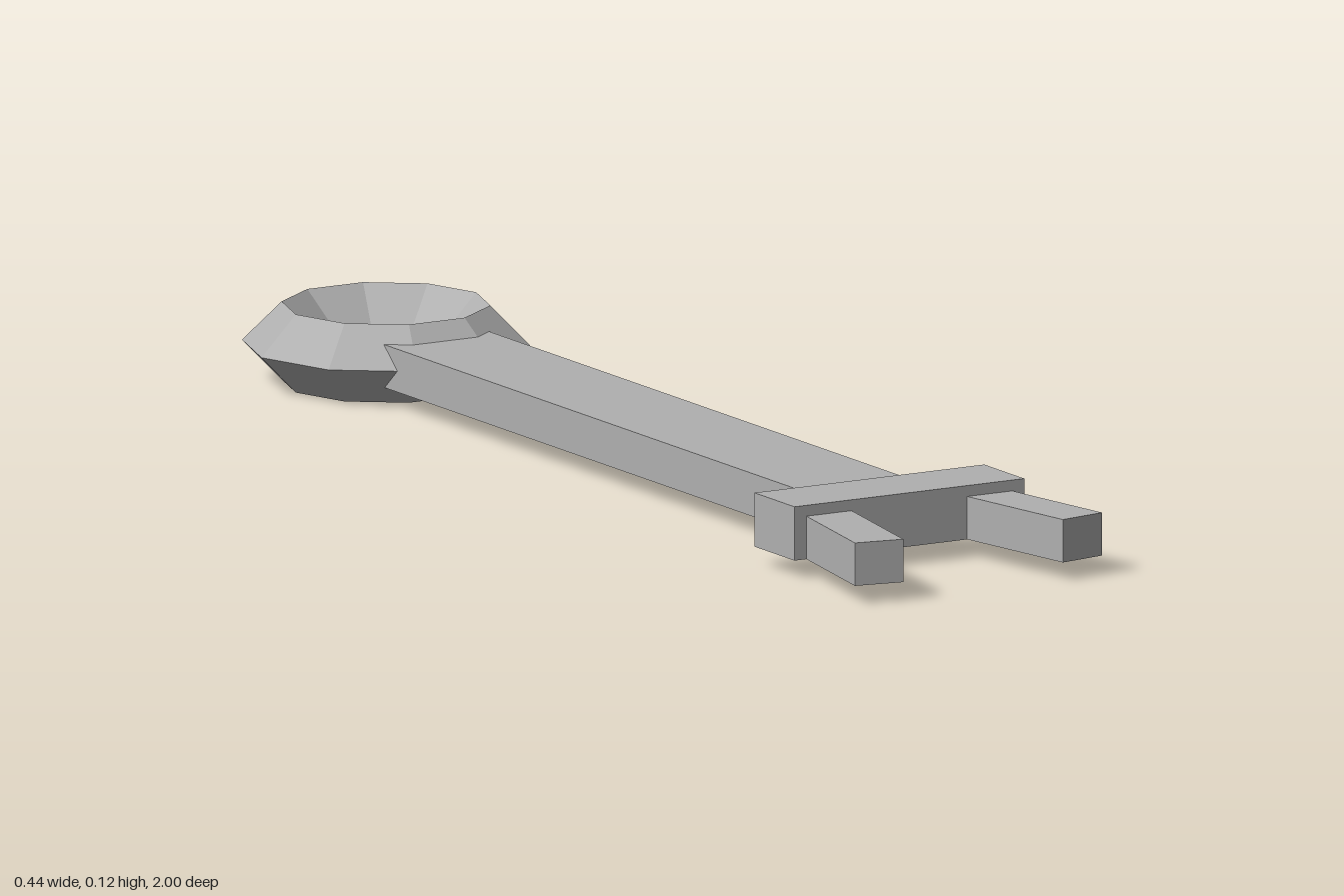
import * as THREE from 'three';

export function createModel() {
  const model = new THREE.Group();
  model.name = 'wrench';

  const steel = new THREE.MeshStandardMaterial({ color: 0xb0b0b0 });
  steel.name = 'steel grey';

  const add = (name, geometry, x, y, z) => {
    const mesh = new THREE.Mesh(geometry, steel);
    mesh.name = name;
    mesh.position.set(x, y, z);
    model.add(mesh);
    return mesh;
  };

  const thickness = 0.067, midY = 0.0625;

  // Long flat handle, its back end reaching into the ring
  add('handle', new THREE.BoxGeometry(0.187, thickness, 1.43), 0, midY, -0.012);

  // Faceted ring at the back end: ten segments, diamond cross-section
  const ringGeometry = new THREE.TorusGeometry(0.16, 0.061, 4, 10)
    .rotateX(Math.PI / 2)
    .toNonIndexed();
  ringGeometry.computeVertexNormals();
  add('ringEnd', ringGeometry, 0, 0.0615, -0.79);

  // Cross block that carries the jaws, flush with the handle underneath
  add('jawBase', new THREE.BoxGeometry(0.408, 0.084, 0.12), 0, 0.071, 0.718);

  // Two jaws splayed outward
  for (const [name, side] of [['leftJaw', 1], ['rightJaw', -1]]) {
    const jaw = add(name, new THREE.BoxGeometry(0.079, thickness, 0.27), side * 0.157, midY, 0.859);
    jaw.rotation.y = side * 0.175;
  }

  return model;
}
